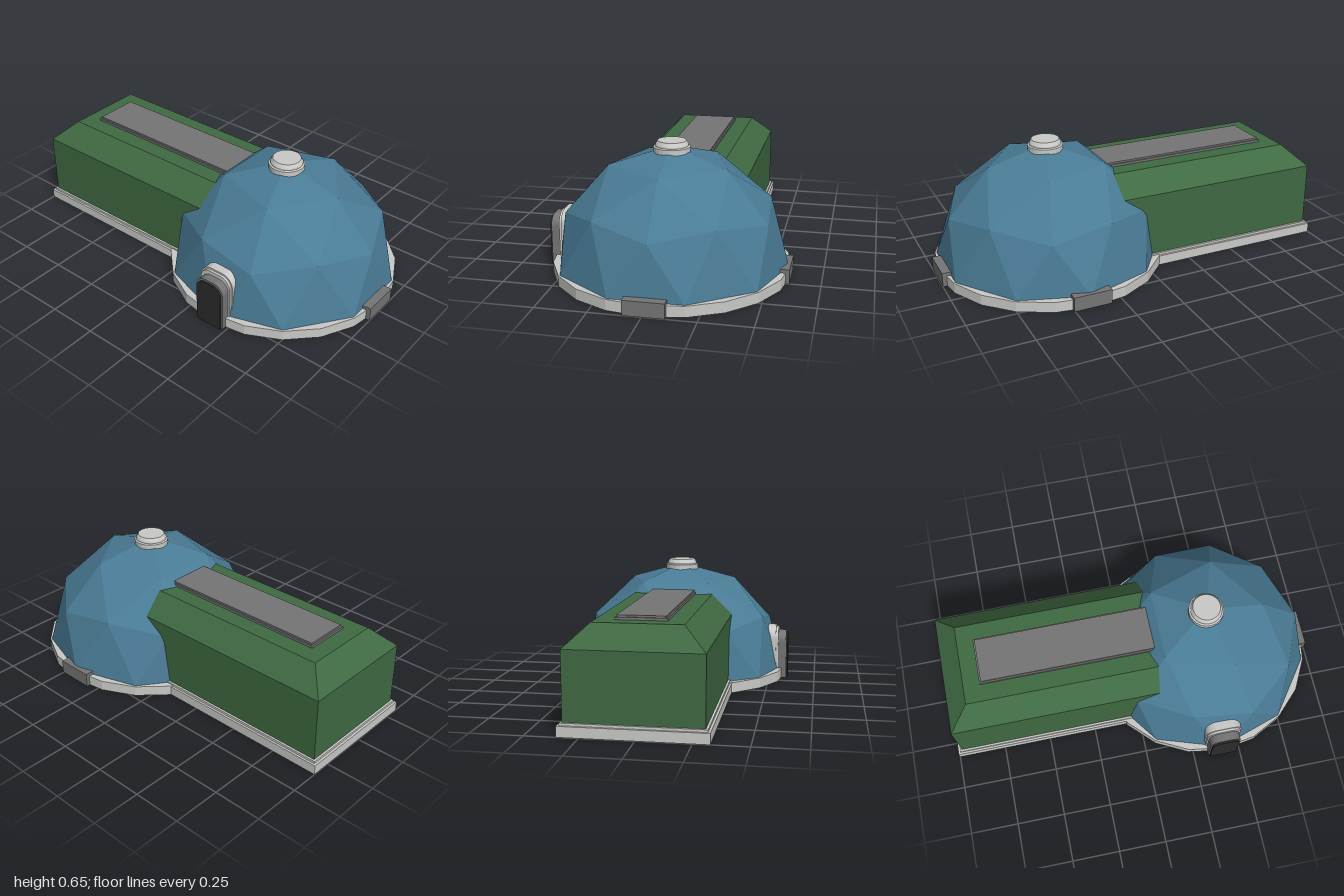
import * as THREE from 'three';

const mat = (name, color, flatShading = false) => {
  const m = new THREE.MeshStandardMaterial({ color, flatShading });
  m.name = name;
  return m;
};

export function createModel() {
  const blue = mat('domeBlue', 0x4a7c96, true);
  const green = mat('wallGreen', 0x3f6a42, true);
  const light = mat('lightGrey', 0xcacac8, true);
  const grey = mat('midGrey', 0x757575, true);
  const dark = mat('doorDark', 0x2c2c2c, true);

  const group = new THREE.Group();
  const cx = 0.405, cz = -0.008; // dome centre
  const wz = -0.012; // wing centre line

  const add = (name, geo, material, x = 0, y = 0, z = 0) => {
    const mesh = new THREE.Mesh(geo, material);
    mesh.name = name;
    mesh.position.set(x, y, z);
    group.add(mesh);
    return mesh;
  };
  // box given by its limits
  const box = (name, material, x0, x1, y0, y1, z0, z1) =>
    add(name, new THREE.BoxGeometry(x1 - x0, y1 - y0, z1 - z0), material,
      (x0 + x1) / 2, (y0 + y1) / 2, (z0 + z1) / 2);

  // Geodesic dome: upper half of a subdivided icosahedron with a vertex on top
  const ico = new THREE.IcosahedronGeometry(0.58, 1);
  ico.rotateZ(Math.atan(2 / (1 + Math.sqrt(5))));
  ico.rotateY(Math.PI);
  const p = ico.attributes.position.array;
  const kept = [];
  for (let i = 0; i < p.length; i += 9) {
    if (p[i + 1] + p[i + 4] + p[i + 7] > 0.01) kept.push(...p.slice(i, i + 9));
  }
  const domeGeo = new THREE.BufferGeometry();
  domeGeo.setAttribute('position', new THREE.Float32BufferAttribute(kept, 3));
  domeGeo.computeVertexNormals();
  add('dome', domeGeo, blue, cx, 0.05, cz);

  // Foundations
  add('domeFoundation', new THREE.CylinderGeometry(0.588, 0.588, 0.054, 20), light, cx, 0.027, cz);
  box('wingFoundation', light, -1, 0.3, 0, 0.05, wz - 0.34, wz + 0.34);
  box('wingSill', light, -0.988, 0.2, 0.05, 0.062, wz - 0.329, wz + 0.329);

  // Wing: straight walls, sloping shoulders and a flat roof
  const wingGeo = new THREE.BoxGeometry(1, 1, 1, 1, 2, 1);
  const w = wingGeo.attributes.position;
  for (let i = 0; i < w.count; i++) {
    const top = w.getY(i) > 0.1;
    const y = top ? 0.492 : w.getY(i) < -0.1 ? 0.05 : 0.388;
    const x = w.getX(i) > 0 ? 0.25 : top ? -0.87 : -0.977;
    w.setXYZ(i, x, y, wz + Math.sign(w.getZ(i)) * (top ? 0.21 : 0.318));
  }
  const wingFlat = wingGeo.toNonIndexed();
  wingFlat.computeVertexNormals();
  add('wing', wingFlat, green);

  // Roof panel with a raised centre
  box('roofPanelFrame', grey, -0.785, 0.2, 0.485, 0.504, wz - 0.122, wz + 0.122);
  box('roofPanel', grey, -0.777, 0.19, 0.504, 0.513, wz - 0.114, wz + 0.114);

  // Vent cap on the dome
  const capProfile = [[0.09, 0.59], [0.09, 0.625], [0.081, 0.629], [0.081, 0.636],
    [0.07, 0.655], [0, 0.655]].map(([r, y]) => new THREE.Vector2(r, y));
  add('ventCap', new THREE.LatheGeometry(capProfile, 24), light, cx, 0, cz);

  // Doorway: three nested slabs with rounded top corners
  const arch = (half, height, r, depth) => {
    const s = new THREE.Shape();
    s.moveTo(-half, 0);
    s.lineTo(half, 0);
    s.lineTo(half, height - r);
    s.absarc(half - r, height - r, r, 0, Math.PI / 2, false);
    s.absarc(-half + r, height - r, r, Math.PI / 2, Math.PI, false);
    s.closePath();
    return new THREE.ExtrudeGeometry(s, { depth, bevelEnabled: false, curveSegments: 6 });
  };
  add('doorSurround', arch(0.095, 0.285, 0.062, 0.13), light, cx, 0, 0.405);
  add('doorSurroundLip', arch(0.088, 0.276, 0.058, 0.013), light, cx, 0, 0.535);
  add('doorFrame', arch(0.08, 0.256, 0.055, 0.05), grey, cx, 0, 0.541);
  add('door', arch(0.072, 0.245, 0.05, 0.03), dark, cx, 0, 0.57);

  // Anchor blocks on the foundation
  box('sideAnchor', grey, 0.955, 1, 0, 0.073, cz - 0.098, cz + 0.098);
  box('backAnchor', grey, cx - 0.098, cx + 0.098, 0, 0.073, -0.6, -0.555);

  return group;
}
